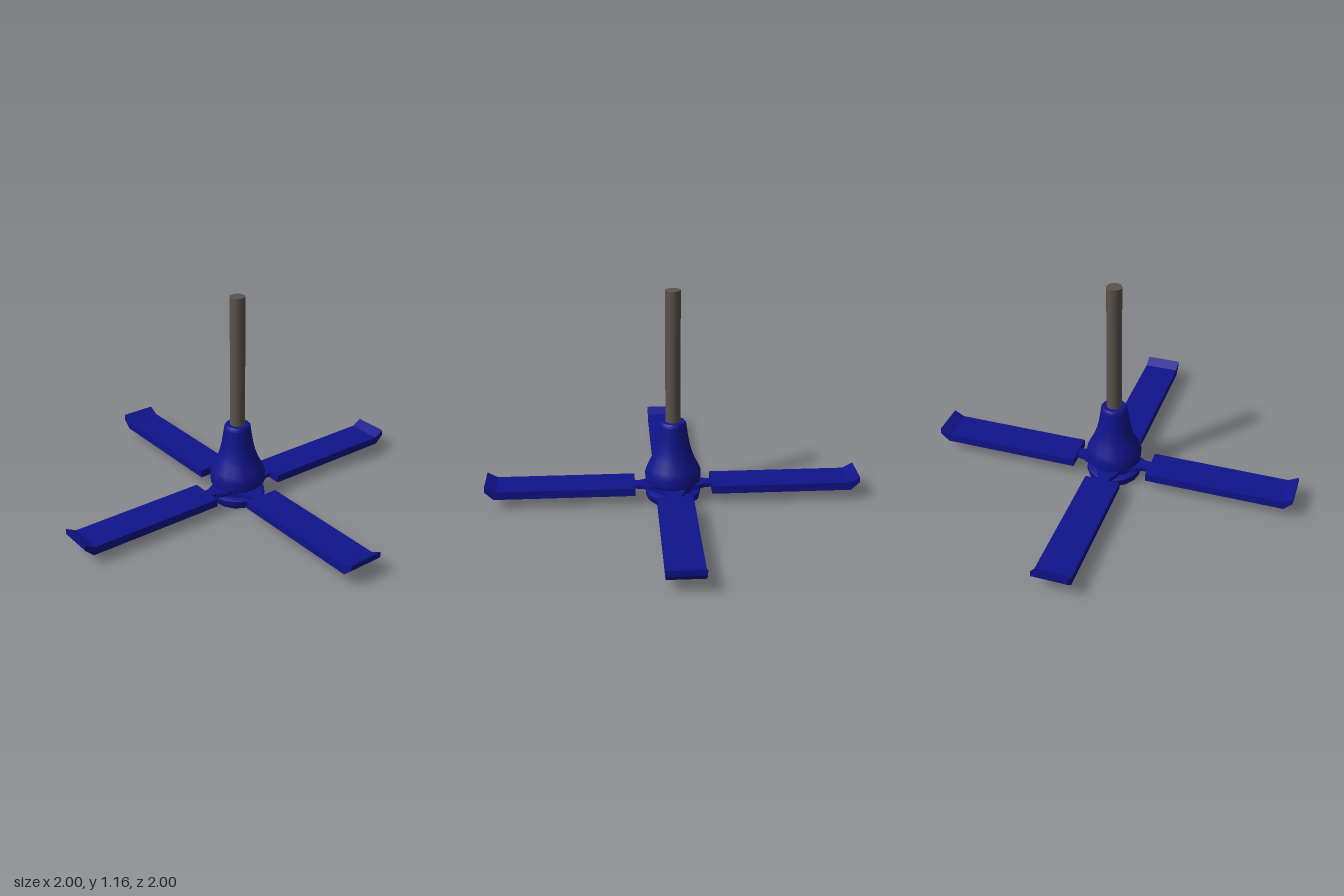
import * as THREE from 'three';
import { toCreasedNormals } from 'three/addons/utils/BufferGeometryUtils.js';

const blue = new THREE.MeshStandardMaterial({ color: 0x10148c });
const brown = new THREE.MeshStandardMaterial({ color: 0x5c534c });

function add(parent, name, geometry, material) {
  const mesh = new THREE.Mesh(geometry, material);
  mesh.name = name;
  parent.add(mesh);
  return mesh;
}

// Solid of revolution from [radius, height] pairs, listed bottom to top
function turned(points) {
  const profile = points.map(([r, y]) => new THREE.Vector2(r, y));
  return toCreasedNormals(new THREE.LatheGeometry(profile, 16), 0.7);
}

// Flat outline extruded symmetrically about its plane
function slab(points, depth) {
  const shape = new THREE.Shape(points.map(([x, y]) => new THREE.Vector2(x, y)));
  return new THREE.ExtrudeGeometry(shape, { depth, bevelEnabled: false })
    .translate(0, 0, -depth / 2);
}

export function createModel() {
  const fan = new THREE.Group();
  fan.name = 'ceilingFan';

  // Hanging rod
  add(fan, 'downRod', new THREE.CylinderGeometry(0.04, 0.04, 0.757, 24), brown)
    .position.y = 0.7785;

  // Bell-shaped motor housing
  add(fan, 'motorHousing', turned([
    [0, 0.1], [0.135, 0.1], [0.148, 0.112], [0.15, 0.16], [0.137, 0.192],
    [0.115, 0.235], [0.098, 0.28], [0.086, 0.33], [0.078, 0.38], [0.072, 0.42],
    [0.07, 0.435], [0.062, 0.445], [0.038, 0.445],
  ]), blue);

  // Recessed hub the blade arms are fixed to
  add(fan, 'hub', new THREE.CylinderGeometry(0.11, 0.11, 0.07, 16), blue).position.y = 0.075;

  // Lower cap
  add(fan, 'bottomCap', turned([
    [0, 0], [0.13, 0], [0.143, 0.012], [0.147, 0.03], [0.147, 0.05], [0.138, 0.055], [0, 0.055],
  ]), blue);

  // Four blades with upturned tips, each on a tapered arm
  const bladeGeometry = slab([
    [0.205, 0.057], [0.955, 0.057], [1, 0.1], [1, 0.13], [0.945, 0.1], [0.205, 0.1],
  ], 0.19);
  const armGeometry = slab([
    [0.08, -0.065], [0.14, -0.052], [0.17, -0.034], [0.22, -0.028],
    [0.22, 0.028], [0.17, 0.034], [0.14, 0.052], [0.08, 0.065],
  ], 0.022).rotateX(-Math.PI / 2).translate(0, 0.079, 0);

  for (let i = 0; i < 4; i++) {
    const assembly = new THREE.Group();
    assembly.name = 'bladeAssembly' + (i + 1);
    add(assembly, 'blade', bladeGeometry, blue);
    add(assembly, 'bladeArm', armGeometry, blue);
    assembly.rotation.y = i * Math.PI / 2;
    fan.add(assembly);
  }
  return fan;
}
